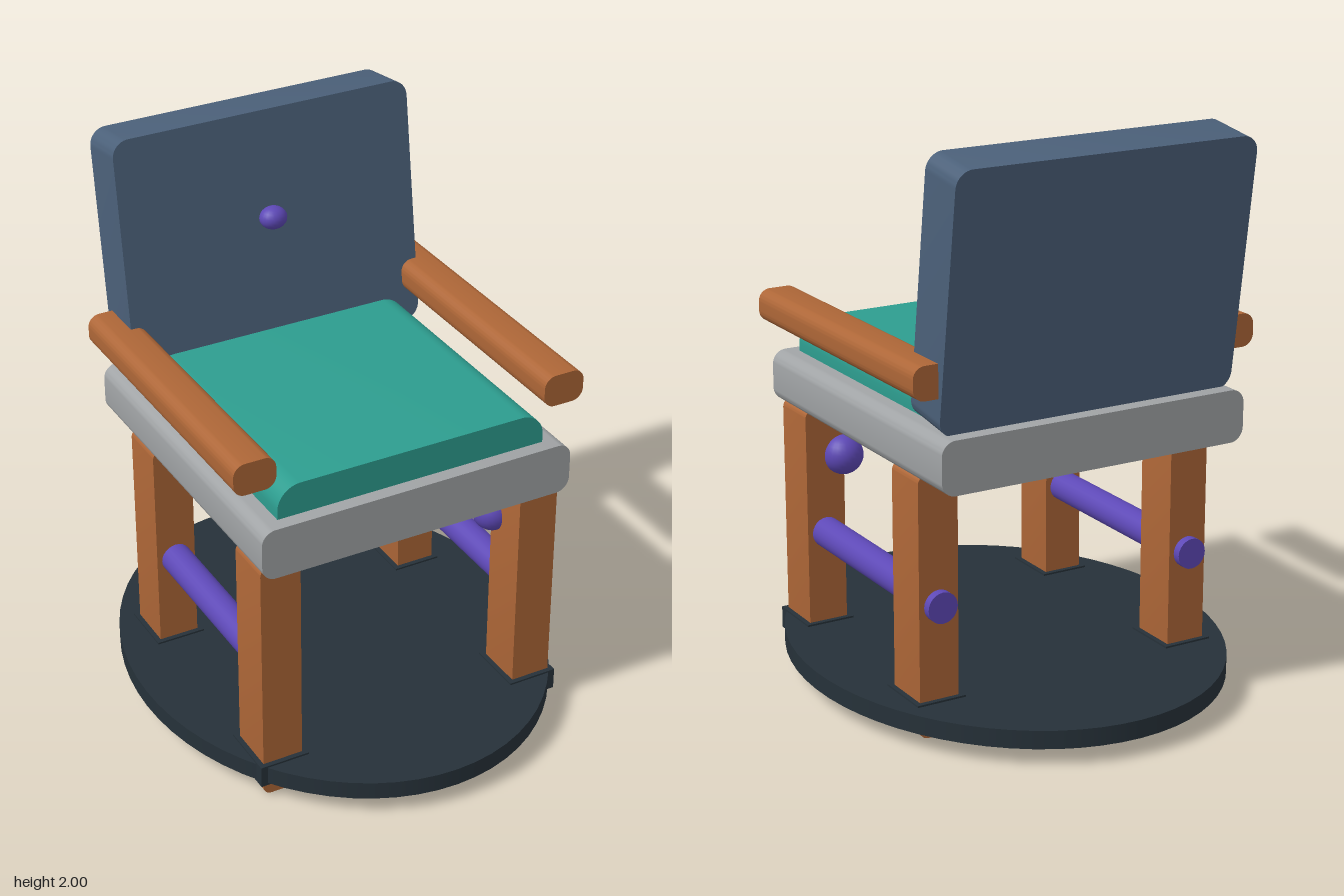
import * as THREE from 'three';
import { toCreasedNormals } from 'three/addons/utils/BufferGeometryUtils.js';

const mat = (name, color) => {
  const m = new THREE.MeshStandardMaterial({ color });
  m.name = name;
  return m;
};

// Bar with a rounded cross-section in x/y, running along z, centred on the origin
function roundedBar(w, h, d, r) {
  const x = w / 2, y = h / 2;
  const s = new THREE.Shape();
  s.moveTo(-x + r, -y);
  s.lineTo(x - r, -y);
  s.absarc(x - r, -y + r, r, -Math.PI / 2, 0);
  s.lineTo(x, y - r);
  s.absarc(x - r, y - r, r, 0, Math.PI / 2);
  s.lineTo(-x + r, y);
  s.absarc(-x + r, y - r, r, Math.PI / 2, Math.PI);
  s.lineTo(-x, -y + r);
  s.absarc(-x + r, -y + r, r, Math.PI, Math.PI * 1.5);
  const g = new THREE.ExtrudeGeometry(s, { depth: d, bevelEnabled: false, curveSegments: 6 });
  g.translate(0, 0, -d / 2);
  return toCreasedNormals(g, 0.6);
}

export function createModel() {
  const wood = mat('wood', 0xad6637);
  const slate = mat('slate blue', 0x4b6079);
  const teal = mat('teal', 0x2d9d8f);
  const grey = mat('grey', 0xa0a3a5);
  const dark = mat('dark base', 0x263139);
  const purple = mat('purple', 0x5d48b6);

  const group = new THREE.Group();
  group.name = 'chair';
  const add = (name, geometry, material, x, y, z) => {
    const m = new THREE.Mesh(geometry, material);
    m.name = name;
    m.position.set(x, y, z);
    group.add(m);
    return m;
  };

  // Oval base plate
  const plate = new THREE.CylinderGeometry(1, 1, 0.065, 64);
  plate.scale(0.74, 1, 0.895);
  add('basePlate', plate, dark, 0, 0.0975, 0);

  // Seat and cushion
  add('seat', roundedBar(1.164, 0.185, 1.22, 0.05), grey, 0, 1.0045, 0);
  add('cushion', roundedBar(1.0, 0.2, 1.01, 0.085), teal, 0, 1.113, 0.055);

  // Leaning backrest with its button
  const back = add('backrest', roundedBar(1.124, 0.894, 0.19, 0.06), slate, 0, 1.545, -0.523);
  back.rotation.x = -0.138;
  const button = new THREE.SphereGeometry(1, 20, 14);
  button.scale(0.05, 0.041, 0.045);
  add('backButton', button, purple, 0, 1.625, -0.42);

  // Legs, collars, armrests and side rods, mirrored left and right
  const legGeo = roundedBar(0.147, 0.925, 0.177, 0.03);
  const collarGeo = new THREE.BoxGeometry(0.182, 0.08, 0.212);
  const armGeo = roundedBar(0.152, 0.116, 1.115, 0.042);
  const rodGeo = new THREE.CylinderGeometry(0.055, 0.055, 0.91, 24);
  rodGeo.rotateX(Math.PI / 2);
  for (const [side, sx] of [['left', 1], ['right', -1]]) {
    for (const [end, z] of [['Front', 0.477], ['Back', -0.336]]) {
      add(`${side}${end}Leg`, legGeo, wood, sx * 0.494, 0.4665, z);
      add(`${side}${end}Collar`, collarGeo, dark, sx * 0.494, 0.0965, z);
    }
    add(`${side}Armrest`, armGeo, wood, sx * 0.577, 1.282, 0.002);
    add(`${side}Rod`, rodGeo, purple, sx * 0.494, 0.47, 0);
  }

  // Knob on the inner corner of the left front leg
  add('legKnob', new THREE.SphereGeometry(0.072, 24, 16), purple, 0.424, 0.75, 0.386);

  return group;
}
